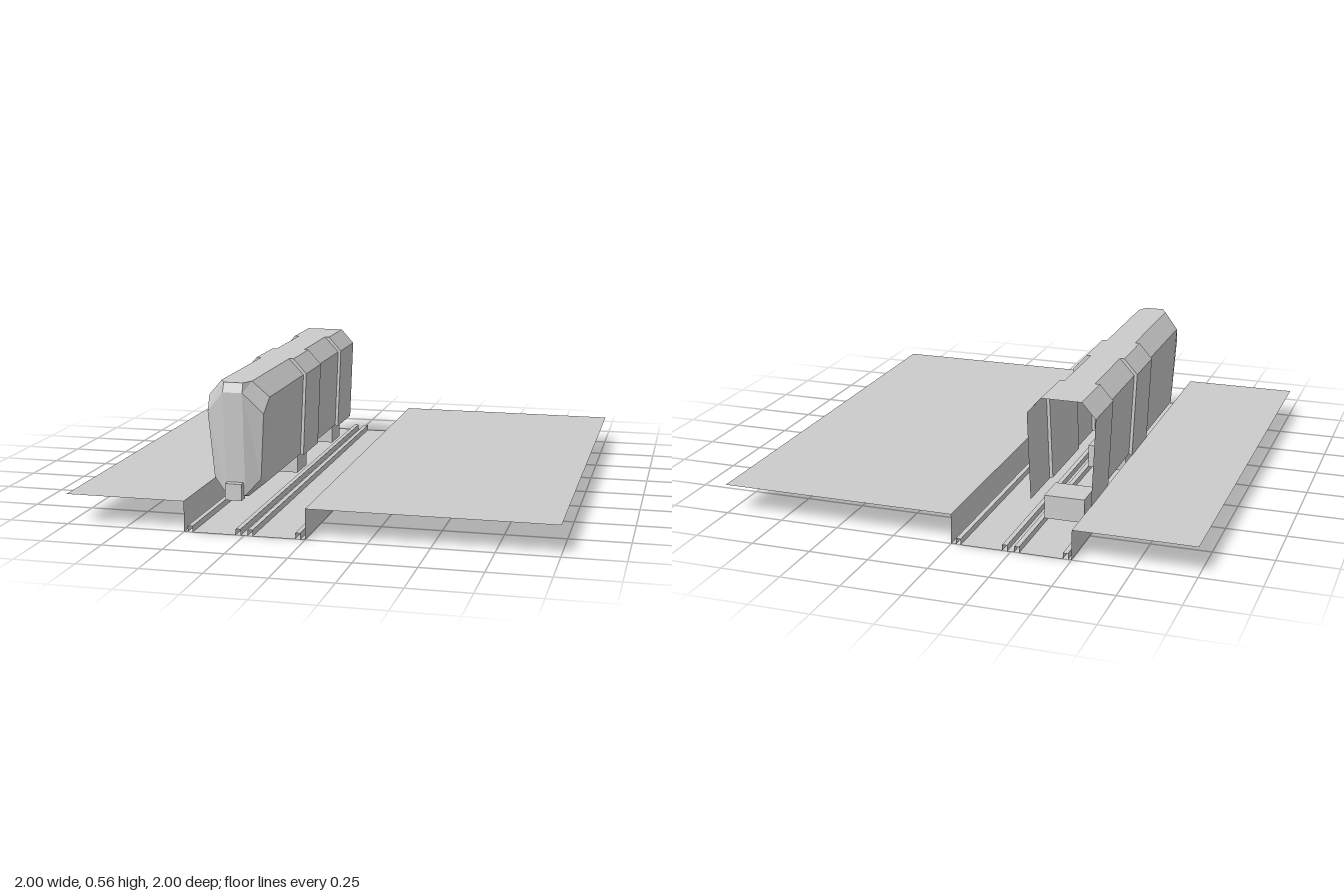
import * as THREE from 'three';

const grey = new THREE.MeshStandardMaterial({ color: 0xcccccc, side: THREE.DoubleSide });
grey.name = 'plain grey';

// Flat faces from polygons of 3 or 4 points
function faces(name, polys) {
  const pos = [];
  for (const p of polys) {
    for (let i = 1; i < p.length - 1; i++) pos.push(...p[0], ...p[i], ...p[i + 1]);
  }
  const g = new THREE.BufferGeometry();
  g.setAttribute('position', new THREE.Float32BufferAttribute(pos, 3));
  g.computeVertexNormals();
  const m = new THREE.Mesh(g, grey);
  m.name = name;
  return m;
}

// Quads joining consecutive open cross-sections
function loft(rings) {
  const polys = [];
  for (let r = 0; r < rings.length - 1; r++) {
    const a = rings[r], b = rings[r + 1];
    for (let i = 0; i < a.length - 1; i++) polys.push([a[i], b[i], b[i + 1], a[i + 1]]);
  }
  return polys;
}

function box(name, w, h, d, y, z) {
  const m = new THREE.Mesh(new THREE.BoxGeometry(w, h, d), grey);
  m.name = name;
  m.position.set(0, y, z);
  return m;
}

const mirror = ([x, y, z]) => [-x, y, z];

export function createModel() {
  const model = new THREE.Group();

  // Ground sheet with a sunken track bed and four raised rails
  const profile = [[-1, 0.125], [-0.5, 0.125], [-0.5, 0]];
  for (const x of [-0.475, -0.275, -0.225, -0.03]) {
    profile.push([x - 0.01, 0], [x - 0.01, 0.025], [x + 0.01, 0.025], [x + 0.01, 0]);
  }
  profile.push([0, 0], [0, 0.125], [1, 0.125]);
  const section = (z) => profile.map(([x, y]) => [x, y, z]);
  model.add(faces('groundAndTrackBed', loft([section(-1), section(1)])));

  const train = new THREE.Group();
  train.name = 'train';
  train.position.x = -0.375;

  // Car body: alternating wide and narrow sections, open at the rear
  const wide = [[0.127, 0.125], [0.143, 0.495], [0.085, 0.56]];
  const narrow = [[0.113, 0.13], [0.13, 0.49], [0.065, 0.56]];
  const ring = (half, z) => {
    const right = half.map(([x, y], i) => [x, y, Array.isArray(z) ? z[i] : z]);
    return [...right.map(mirror), ...right.slice().reverse()];
  };
  train.add(faces('carBody', loft([
    ring(wide, -0.75), ring(wide, -0.5),
    ring(narrow, -0.5), ring(narrow, -0.125),
    ring(wide, -0.125), ring(wide, 0.125),
    ring(narrow, 0.125), ring(narrow, [0.634, 0.644, 0.676]),
  ])));

  // Faceted nose
  const A = [0.065, 0.56, 0.676], B = [0.13, 0.49, 0.644], C = [0.12, 0.43, 0.70];
  const D = [0.04, 0.56, 0.724], E = [0.042, 0.52, 0.738], F = [0.04, 0.085, 0.712];
  const G = [0.1, 0.15, 0.682], H = [0.113, 0.13, 0.634], K = [0.04, 0.07, 0.665];
  const side = [[E, F, G, C], [A, D, E, C], [A, C, B], [B, C, G, H], [F, K, H, G]];
  const otherSide = side.map((p) => p.map(mirror).reverse());
  const middle = [[A, D], [D, E], [E, F], [F, K]].map(([p, q]) => [mirror(p), mirror(q), q, p]);
  train.add(faces('nose', [...side, ...otherSide, ...middle]));

  // Coupler and running gear
  train.add(box('coupler', 0.07, 0.07, 0.05, 0.105, 0.723));
  for (const z of [-0.625, 0]) train.add(box('bogie', 0.17, 0.1, 0.15, 0.08, z));

  model.add(train);
  return model;
}
